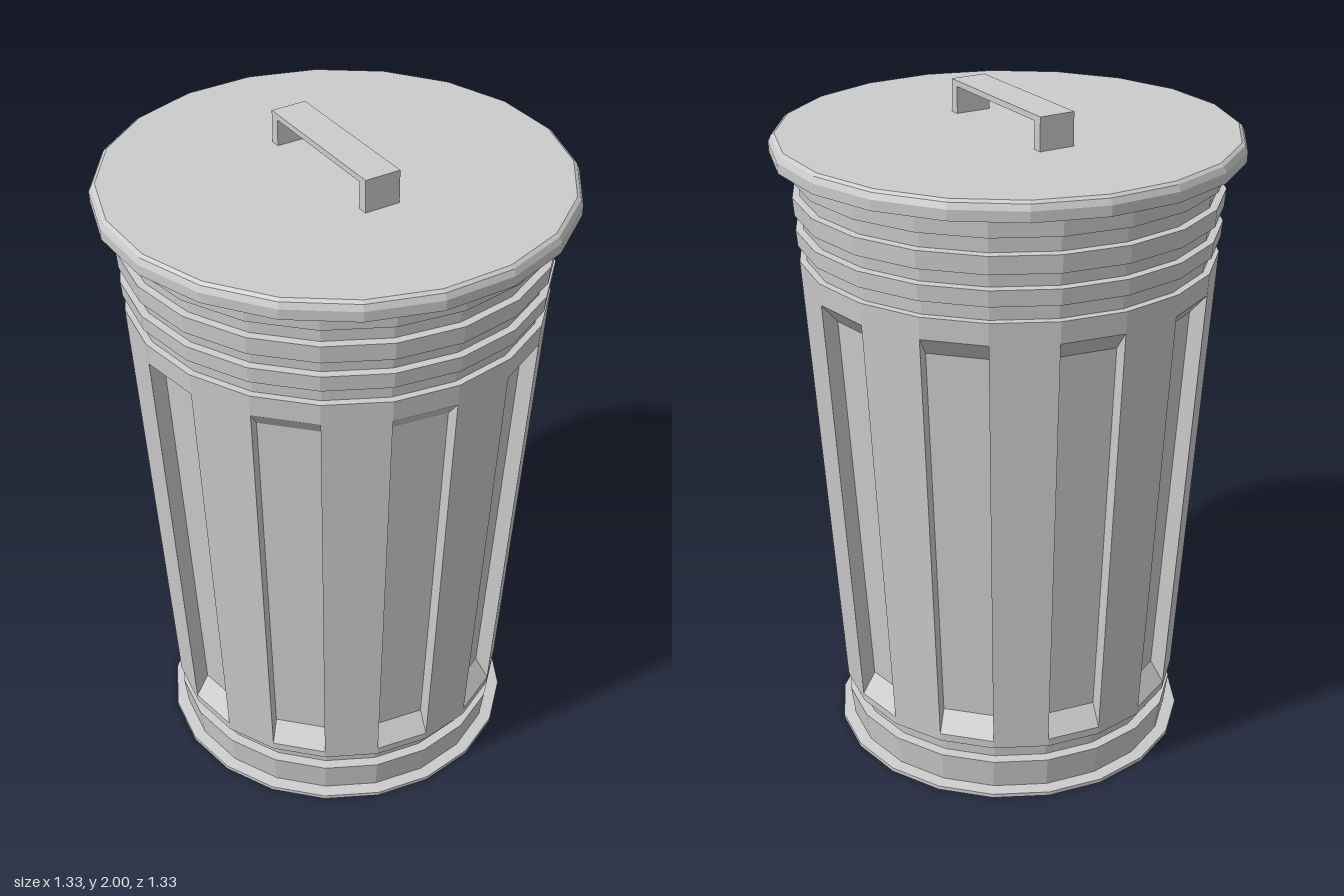
import * as THREE from 'three';

const SIDES = 20;
const STEP = (Math.PI * 2) / SIDES;

export function createModel() {
  const model = new THREE.Group();
  const metal = new THREE.MeshStandardMaterial({ color: 0xcccccc, flatShading: true });

  const add = (name, geometry) => {
    const mesh = new THREE.Mesh(geometry, metal);
    mesh.name = name;
    model.add(mesh);
    return mesh;
  };
  // Faceted turned part; profile runs from the bottom up
  const turned = (name, profile) =>
    add(name, new THREE.LatheGeometry(profile.map(([r, y]) => new THREE.Vector2(r, y)), SIDES));

  // Foot: base flange, band and groove
  turned('foot', [
    [0, 0], [0.54, 0], [0.54, 0.012], [0.503, 0.016], [0.515, 0.11],
    [0.485, 0.112], [0.49, 0.165], [0.52, 0.166],
  ]);

  // Tapered wall, every second facet holding a recessed panel
  add('body', bodyGeometry());

  // Stepped rings under the lid
  turned('neckRings', [
    [0.605, 1.555], [0.585, 1.556], [0.588, 1.6], [0.608, 1.601], [0.612, 1.648],
    [0.59, 1.65], [0.594, 1.69], [0.613, 1.691], [0.617, 1.743], [0.595, 1.745],
    [0.598, 1.79], [0.617, 1.791], [0.62, 1.835], [0.63, 1.84], [0.63, 1.88],
  ]);

  // Lid with a hollow overhanging rim
  const lid = turned('lid', [
    [0, 1.878], [0.65, 1.878], [0.66, 1.848], [0.672, 1.85],
    [0.673, 1.88], [0.665, 1.897], [0.655, 1.904], [0, 1.904],
  ]);
  lid.rotation.y = STEP / 2 + 0.01;

  // Handle: flat strap bent into a bridge, running front to back
  const strap = new THREE.Shape([
    [-0.24, 1.9], [-0.21, 1.9], [-0.21, 1.983], [0.21, 1.983],
    [0.21, 1.9], [0.24, 1.9], [0.24, 2], [-0.24, 2],
  ].map(([x, y]) => new THREE.Vector2(x, y)));
  const handle = new THREE.ExtrudeGeometry(strap, { depth: 0.108, bevelEnabled: false });
  handle.translate(0, 0, -0.054).rotateY(Math.PI / 2).translate(-0.003, 0, -0.008);
  add('handle', handle);

  return model;
}

function bodyGeometry() {
  const bottom = 0.165, top = 1.555;      // wall
  const low = 0.19, high = 1.49;          // recess opening
  const depth = 0.048, slope = 0.06;      // recess depth, slant of sill and head
  const positions = [];

  const radius = (y) => THREE.MathUtils.mapLinear(y, bottom, top, 0.52, 0.605);
  const point = (i, y) => new THREE.Vector3(
    Math.sin(i * STEP) * radius(y), y, Math.cos(i * STEP) * radius(y));
  const quad = (a, b, c, d) => {
    for (const p of [a, b, c, a, c, d]) positions.push(p.x, p.y, p.z);
  };
  const facet = (i, y0, y1) =>
    quad(point(i, y0), point(i + 1, y0), point(i + 1, y1), point(i, y1));

  for (let i = 0; i < SIDES; i++) {
    if (i % 2 === 0) {
      facet(i, bottom, top);
      continue;
    }
    facet(i, bottom, low);
    facet(i, high, top);
    // Recess: opening pushed straight in along the facet's direction
    const angle = (i + 0.5) * STEP;
    const inward = new THREE.Vector3(-Math.sin(angle), 0, -Math.cos(angle)).multiplyScalar(depth);
    const ring = (y0, y1) => [point(i, y0), point(i + 1, y0), point(i + 1, y1), point(i, y1)];
    const outer = ring(low, high);
    const inner = ring(low + slope, high - slope).map((p) => p.add(inward));
    for (let k = 0; k < 4; k++) {
      const n = (k + 1) % 4;
      quad(outer[k], outer[n], inner[n], inner[k]);
    }
    quad(...inner);
  }

  const geometry = new THREE.BufferGeometry();
  geometry.setAttribute('position', new THREE.Float32BufferAttribute(positions, 3));
  geometry.computeVertexNormals();
  return geometry;
}
